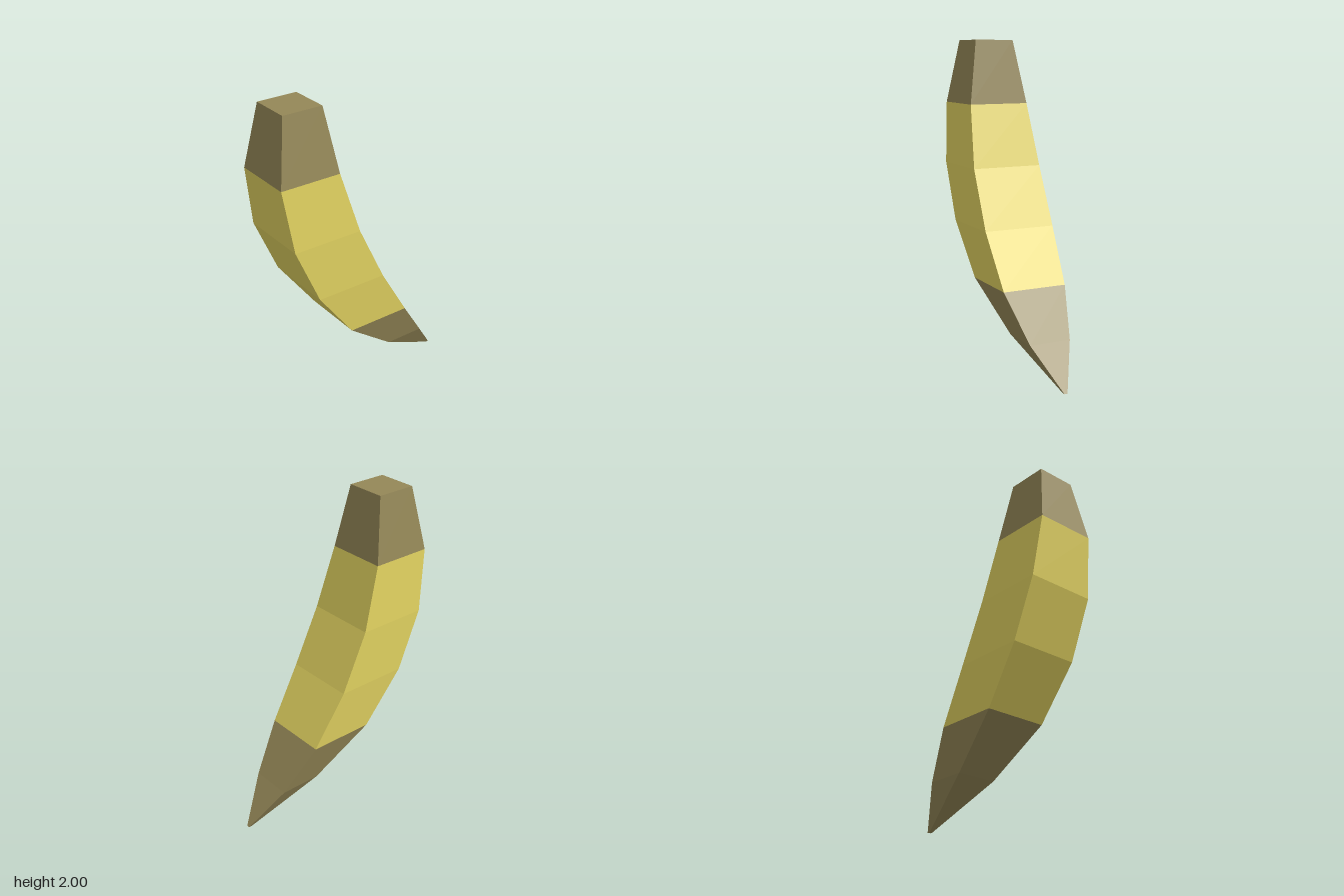
import * as THREE from 'three';

// Horizontal cross-sections from tip to stem: [y, x min, x max, half depth]
const RINGS = [
  [0, 0.605, 0.625, 0.01],
  [0.25, 0.175, 0.435, 0.132],
  [0.53, -0.175, 0.24, 0.206],
  [0.86, -0.42, 0.04, 0.229],
  [1.22, -0.575, -0.13, 0.225],
  [1.605, -0.63, -0.245, 0.193],
  [2, -0.563, -0.31, 0.127],
];

// Corners of a ring, counter-clockwise seen from above
const corners = ([y, x0, x1, d]) => [[x1, y, d], [x1, y, -d], [x0, y, -d], [x0, y, d]];

// Four-sided loft through rings first..last, with optional end caps
function loft(name, first, last, material, capBottom, capTop) {
  const pos = [];
  const quad = (a, b, c, d) => pos.push(...a, ...b, ...c, ...a, ...c, ...d);
  for (let i = first; i < last; i++) {
    const lo = corners(RINGS[i]), hi = corners(RINGS[i + 1]);
    for (let k = 0; k < 4; k++) {
      const n = (k + 1) % 4;
      quad(lo[k], lo[n], hi[n], hi[k]);
    }
  }
  if (capBottom) quad(...corners(RINGS[first]).reverse());
  if (capTop) quad(...corners(RINGS[last]));
  const geometry = new THREE.BufferGeometry();
  geometry.setAttribute('position', new THREE.Float32BufferAttribute(pos, 3));
  geometry.computeVertexNormals(); // unshared corners give flat facets
  const mesh = new THREE.Mesh(geometry, material);
  mesh.name = name;
  return mesh;
}

export function createModel() {
  const yellow = new THREE.MeshStandardMaterial({ color: 0xe0d160 });
  yellow.name = 'peelYellow';
  const brown = new THREE.MeshStandardMaterial({ color: 0x948757 });
  brown.name = 'endBrown';

  const banana = new THREE.Group();
  banana.name = 'banana';
  banana.add(
    loft('tip', 0, 2, brown, true, false),
    loft('peel', 2, 5, yellow, false, false),
    loft('stem', 5, 6, brown, false, true),
  );
  return banana;
}
